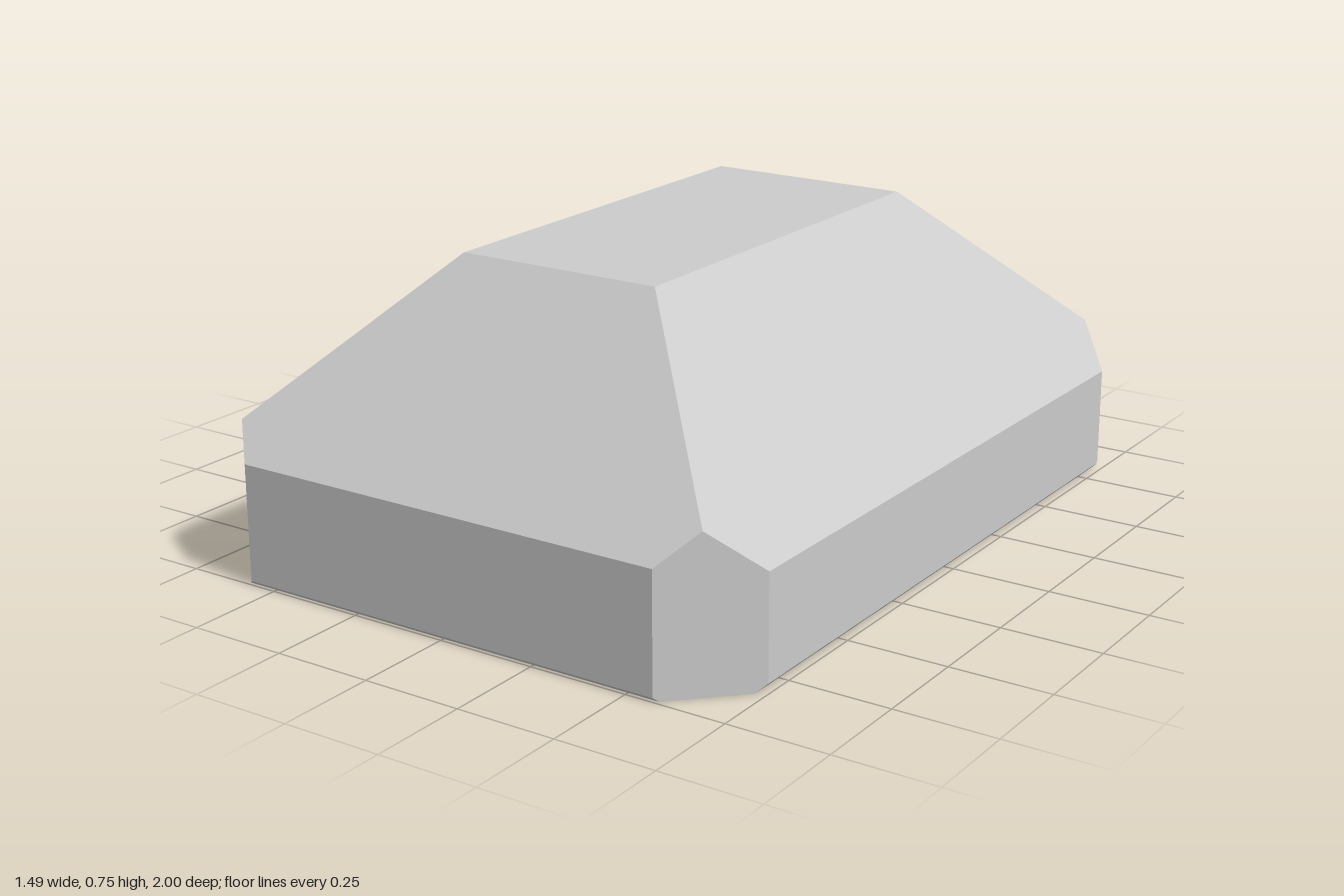
import * as THREE from 'three';
import { ConvexGeometry } from 'three/addons/geometries/ConvexGeometry.js';

export function createModel() {
  const group = new THREE.Group();
  group.name = 'facetedBlock';

  // One quarter of the block's corners; mirrored over x and z.
  const quarter = [
    [0.27, 0.75, 0.55],    // flat top
    [0.645, 0.375, 0.925], // peak of the cut corner
    [0.57, 0.30, 1],       // upper edge, front wall
    [0.745, 0.275, 0.825], // upper edge, side wall
    [0.57, 0.01, 1],       // lower edge, front wall
    [0.745, 0.02, 0.825],  // lower edge, side wall
    [0.58, 0, 0.99],       // bevelled base, front
    [0.725, 0, 0.845],     // bevelled base, side
  ];

  const points = [];
  for (const sx of [1, -1]) {
    for (const sz of [1, -1]) {
      for (const [x, y, z] of quarter) points.push(new THREE.Vector3(sx * x, y, sz * z));
    }
  }

  const body = new THREE.Mesh(
    new ConvexGeometry(points),
    new THREE.MeshStandardMaterial({ color: 0xcccccc, flatShading: true })
  );
  body.name = 'body';
  group.add(body);
  return group;
}
